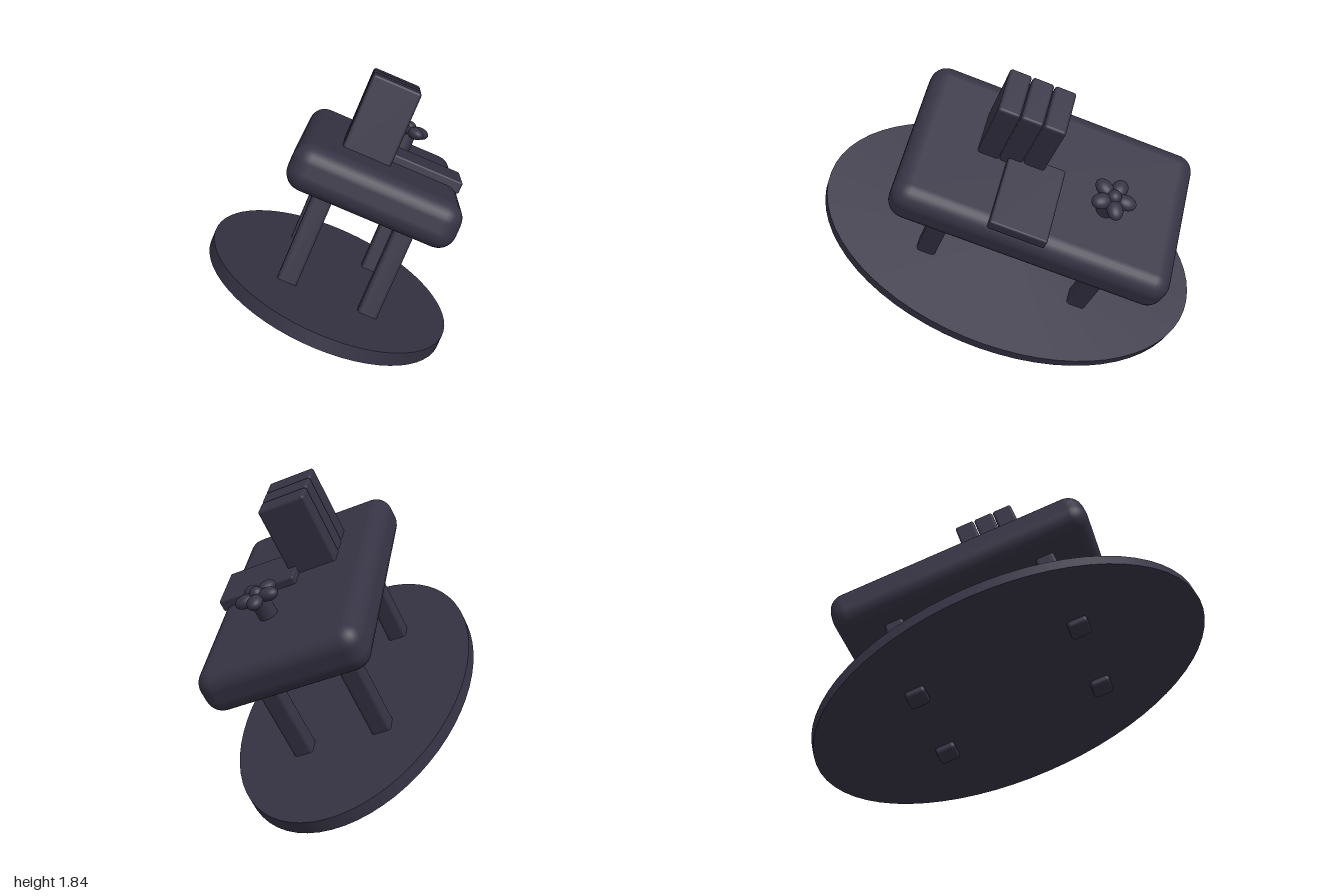
import * as THREE from 'three';
import { RoundedBoxGeometry } from 'three/addons/geometries/RoundedBoxGeometry.js';

const material = new THREE.MeshStandardMaterial({ color: 0x363344 });

function addMesh(parent, name, geometry, x, y, z) {
  const mesh = new THREE.Mesh(geometry, material);
  mesh.name = name;
  mesh.position.set(x, y, z);
  parent.add(mesh);
  return mesh;
}

// Rounded box given by its bottom and top heights
function addBlock(parent, name, x, z, sx, sz, bottom, top, radius) {
  const geometry = new RoundedBoxGeometry(sx, top - bottom, sz, 4, radius);
  return addMesh(parent, name, geometry, x, (bottom + top) / 2, z);
}

export function createModel() {
  const model = new THREE.Group();
  model.name = 'tiltedTable';

  // The whole table is turned about its own upright, then leaned back
  const table = new THREE.Group();
  table.name = 'table';
  table.rotation.set(-Math.PI / 6, -Math.PI / 4, 0);
  table.position.set(0, 0.192, 0.333);
  model.add(table);

  // Oval rug under the table
  const rug = addMesh(table, 'ovalRug', new THREE.CylinderGeometry(1, 1, 0.075, 64), 0, 0.378, 0);
  rug.scale.set(1.158, 1, 0.73);

  // Table top and four legs that poke through the rug
  addBlock(table, 'tableTop', 0, 0, 1.606, 0.956, 0.953, 1.215, 0.1);
  for (const sx of [-1, 1]) {
    for (const sz of [-1, 1]) {
      addBlock(table, 'leg', sx * 0.477, sz * 0.24, 0.115, 0.115, 0.305, 1.05, 0.02);
    }
  }

  // Flat slab at the edge of the table top
  addBlock(table, 'flatBook', 0.103, -0.22, 0.326, 0.475, 1.19, 1.262, 0.012);

  // Three upright books side by side
  for (let i = -1; i <= 1; i++) {
    addBlock(table, 'uprightBook', 0.247 + i * 0.127, 0.106, 0.122, 0.284, 1.19, 1.643, 0.016);
  }

  // Flower: short stem, centre and five flattened petals
  const flower = new THREE.Group();
  flower.name = 'flower';
  flower.position.set(-0.332, 1.345, -0.1);
  table.add(flower);
  addMesh(flower, 'stem', new THREE.CylinderGeometry(0.055, 0.055, 0.17, 24), 0, -0.085, 0);
  const ball = new THREE.SphereGeometry(1, 24, 16);
  addMesh(flower, 'flowerCentre', ball, 0, 0.01, 0).scale.setScalar(0.042);
  for (let i = 0; i < 5; i++) {
    const angle = Math.PI + (i * Math.PI * 2) / 5;
    const petal = addMesh(flower, 'petal', ball, Math.cos(angle) * 0.073, 0, -Math.sin(angle) * 0.073);
    petal.rotation.y = angle;
    petal.scale.set(0.06, 0.036, 0.046);
  }

  return model;
}
